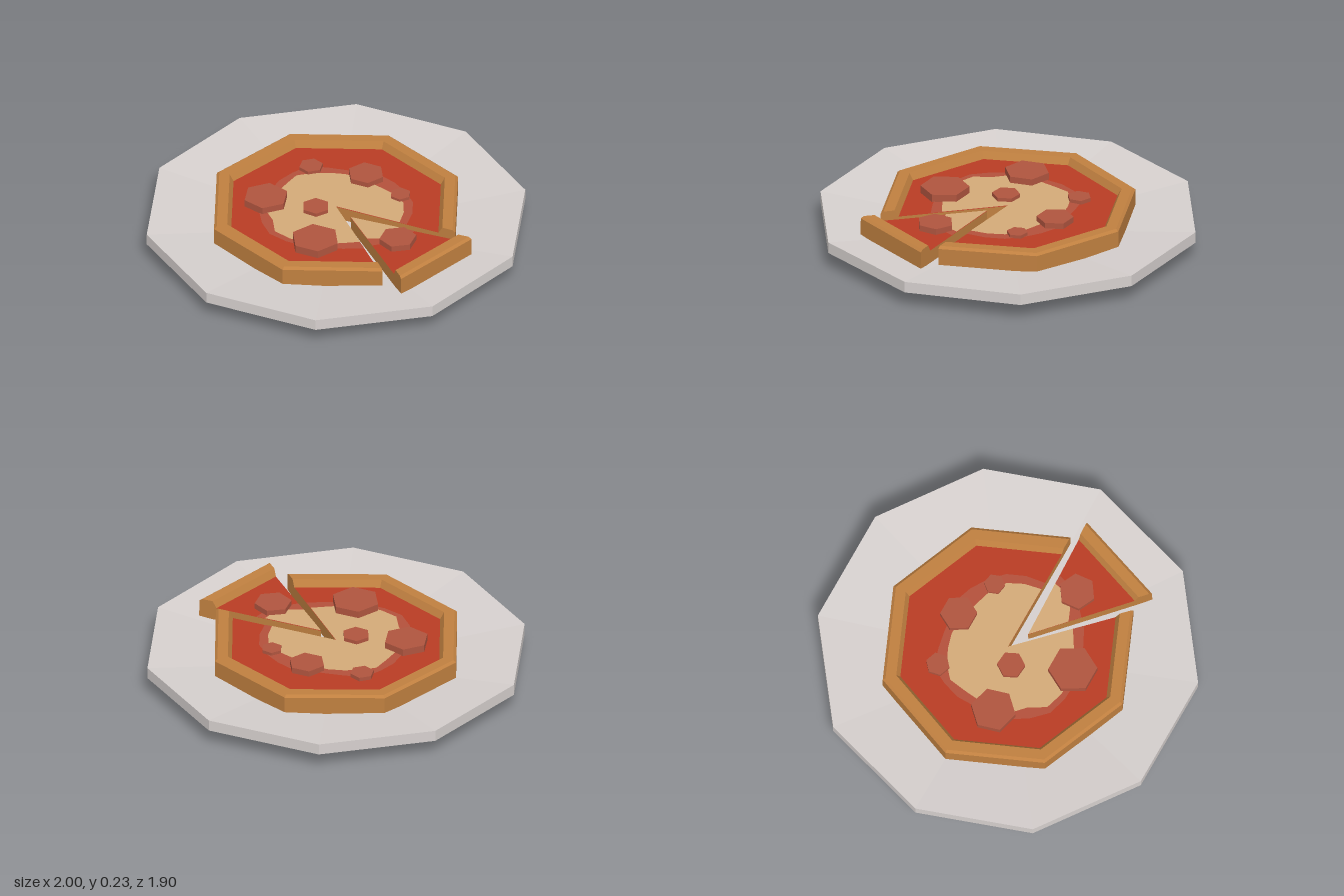
import * as THREE from 'three';

const D = Math.PI / 180;
const material = (name, color, side = THREE.FrontSide) =>
  new THREE.MeshStandardMaterial({ name, color, side, flatShading: true });

const SAUCE_Y = 0.183;
// crust cross-section as (radius, height)
const CRUST = [[0, 0.112], [0.675, 0.112], [0.675, 0.208], [0.66, 0.22], [0.602, 0.22], [0.58, SAUCE_Y]];
// wobbly outlines: radius every 15 degrees, from +x towards +z
const CHEESE_SLICE = [0.31, 0.3, 0.26, 0.22];
const EDGE_SLICE = [0.36, 0.34, 0.31, 0.29];
const CHEESE_REST = [0.35, 0.34, 0.35, 0.37, 0.38, 0.39, 0.35, 0.365, 0.36, 0.33, 0.33,
  0.35, 0.33, 0.31, 0.3, 0.29, 0.28, 0.29, 0.32, 0.35, 0.355, 0.36];
const EDGE_REST = [0.41, 0.39, 0.39, 0.4, 0.41, 0.425, 0.41, 0.4, 0.39, 0.37, 0.38,
  0.385, 0.4, 0.36, 0.34, 0.34, 0.37, 0.375, 0.385, 0.4, 0.4, 0.4];

export function createModel() {
  const mats = {
    plate: material('plate grey', 0xd6d0ce),
    crust: material('crust brown', 0xc08040, THREE.DoubleSide),
    sauce: material('tomato red', 0xb93c24),
    edge: material('melted edge', 0xb4513b),
    cheese: material('cheese tan', 0xd4aa78),
    sausage: material('sausage red', 0xb0553f),
  };
  const model = new THREE.Group();

  const add = (parent, name, geometry, mat) => {
    const mesh = new THREE.Mesh(geometry, mat);
    mesh.name = name;
    parent.add(mesh);
    return mesh;
  };
  const lathe = (points, segments, start, length) => new THREE.LatheGeometry(
    points.map(([r, y]) => new THREE.Vector2(r, y)), segments, start, length);

  // flat sector with a wobbly rim
  const patch = (parent, name, radii, startDeg, y, mat) => {
    const shape = new THREE.Shape();
    shape.moveTo(0, 0);
    radii.forEach((r, i) => {
      const a = (startDeg + i * 15) * D;
      shape.lineTo(r * Math.cos(a), -r * Math.sin(a));
    });
    const geometry = new THREE.ShapeGeometry(shape).rotateX(-Math.PI / 2);
    add(parent, name, geometry, mat).position.y = y;
  };

  // wedge of pizza covering a number of octagon sides
  const pizza = (name, sides, start, cheese, edge, startDeg) => {
    const group = new THREE.Group();
    group.name = name;
    const length = sides * Math.PI / 4;
    add(group, 'crust', lathe(CRUST, sides, start, length), mats.crust);
    add(group, 'sauce', lathe([[0.58, SAUCE_Y], [0, SAUCE_Y]], sides, start, length), mats.sauce);
    // cut faces at both ends
    const profile = new THREE.Shape([...CRUST, [0, SAUCE_Y]].map(([r, y]) => new THREE.Vector2(r, y)));
    for (const phi of [start, start + length]) {
      add(group, 'cutFace', new THREE.ShapeGeometry(profile), mats.crust).rotation.y = phi - Math.PI / 2;
    }
    patch(group, 'meltedEdge', edge, startDeg, SAUCE_Y + 0.002, mats.edge);
    patch(group, 'cheese', cheese, startDeg, SAUCE_Y + 0.004, mats.cheese);
    model.add(group);
    return group;
  };

  // sausage disc with six sides
  const disc = (parent, x, z, r, turn) => {
    const h = 0.33 * r;
    const mesh = add(parent, 'sausageDisc', new THREE.CylinderGeometry(r, r, h, 6), mats.sausage);
    mesh.position.set(x, SAUCE_Y + h / 2, z);
    mesh.rotation.y = turn * D;
  };

  // ten-sided plate with foot and shallow dish
  add(model, 'plate', lathe([[0, 0], [0.68, 0], [0.68, 0.05], [1, 0.09], [1, 0.15], [0.6, 0.11], [0, 0.11]],
    10, Math.PI / 2, Math.PI * 2), mats.plate);

  const rest = pizza('pizza', 7, Math.PI / 2, CHEESE_REST, EDGE_REST, 45);
  for (const d of [
    [-0.262, -0.27, 0.063, 10], [0.032, -0.308, 0.096, 30], [0.265, -0.224, 0.055, 20],
    [-0.35, 0.105, 0.118, 15], [-0.085, 0.065, 0.073, 25], [0.043, 0.358, 0.127, 30],
  ]) disc(rest, ...d);

  // slice pulled outwards, resting on the sloping rim
  const slice = pizza('slice', 1, Math.PI / 4, CHEESE_SLICE, EDGE_SLICE, 0);
  disc(slice, 0.315, 0.125, 0.097, 2);
  slice.position.set(0.113, 0, 0.06);
  slice.rotation.set(-0.008, 1.8 * D, 0.02);

  return model;
}
